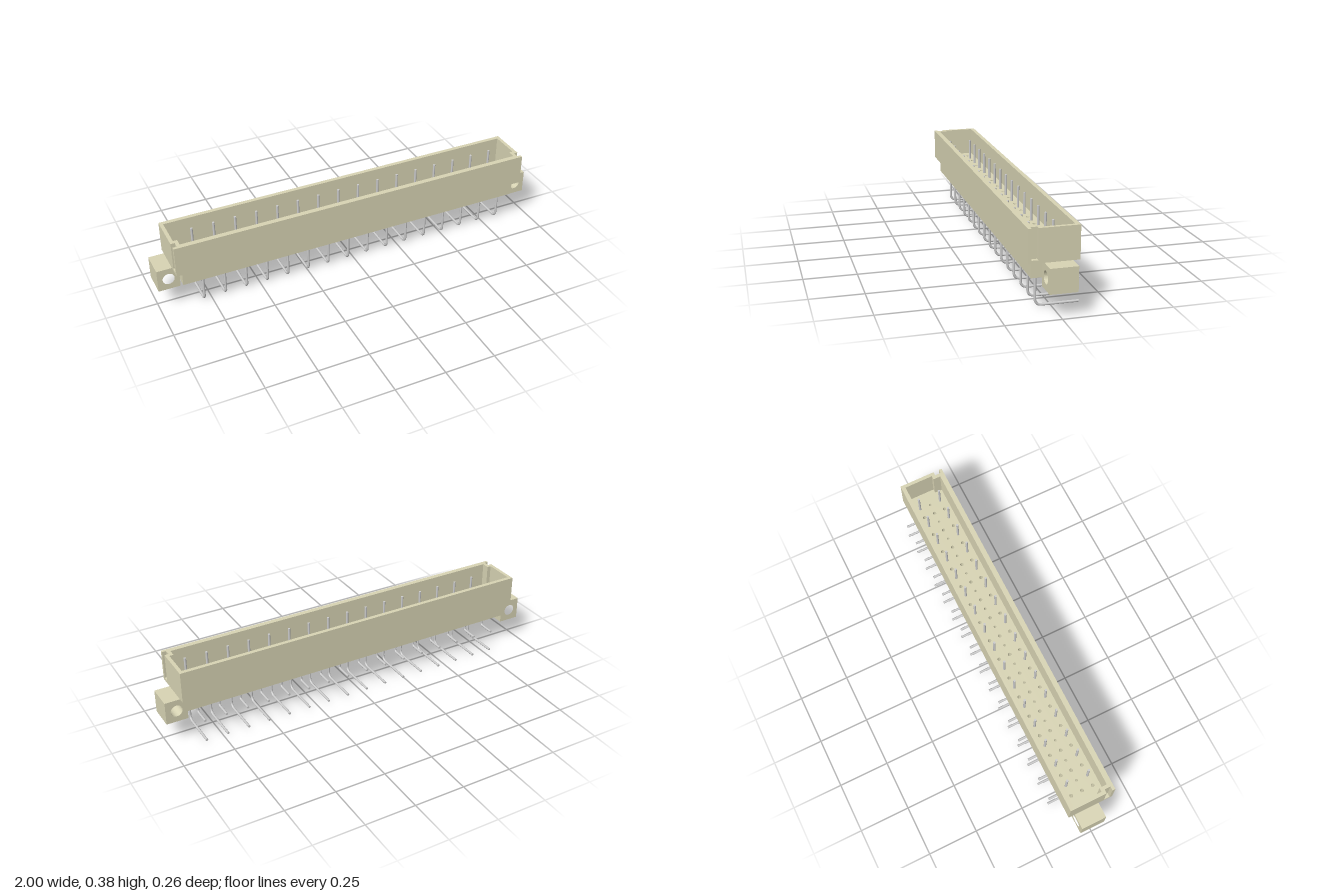
import * as THREE from 'three';
import { mergeGeometries } from 'three/addons/utils/BufferGeometryUtils.js';

const COLUMNS = 16, PITCH = 0.1081, FIRST_PIN_X = -0.787, FIRST_HOLE_X = -0.841;
const ROWS = [-0.043, 0.0135, 0.07];
const PIN_R = 0.006;

// Closed outline from [x, y] points
function outline(points) {
  return new THREE.Shape(points.map(([x, y]) => new THREE.Vector2(x, y)));
}

function roundHole(x, y, r) {
  const p = new THREE.Path();
  p.absarc(x, y, r, 0, Math.PI * 2, true);
  return p;
}

// Extrudes a plan drawn as (x, -z) from height y0 to y1
function extrudeUp(shape, y0, y1) {
  const g = new THREE.ExtrudeGeometry(shape, { depth: y1 - y0, bevelEnabled: false, curveSegments: 6 });
  g.rotateX(-Math.PI / 2);
  g.translate(0, y0, 0);
  return g;
}

// Rectangular plan pierced by the contact grid
function piercedPlan(halfX, zBack, zFront) {
  const s = outline([[-halfX, -zFront], [halfX, -zFront], [halfX, -zBack], [-halfX, -zBack]]);
  for (const z of ROWS) {
    for (let i = 0; i < COLUMNS; i++) {
      s.holes.push(roundHole(FIRST_HOLE_X + i * PITCH, -z, 0.0088));
      s.holes.push(roundHole(FIRST_PIN_X + i * PITCH, -z, 0.0066));
    }
  }
  return s;
}

// Shroud wall: keying grooves outside, thickened front corners inside
function wallPlan() {
  const X = 0.925, G = 0.905, right = [
    [X, -0.13], [X, -0.115], [G, -0.115], [G, -0.085], [X, -0.085], [X, 0.1]];
  const inner = [[0.888, -0.105], [0.888, -0.067], [0.908, -0.067], [0.908, 0.08]];
  const mirrored = (pts) => pts.concat(pts.slice().reverse().map(([x, y]) => [-x, y]));
  const s = outline(mirrored(right));
  s.holes.push(outline(mirrored(inner)));
  return s;
}

// Round wire, straight down from the tip, bent to the back, capped at both ends
function pinGeometry(z, yTip, yBottom, zEnd, bend) {
  const v = (y, zz) => new THREE.Vector3(0, y, zz);
  const k = bend * 0.4477;
  const path = new THREE.CurvePath();
  path.add(new THREE.LineCurve3(v(yTip, z), v(yBottom + bend, z)));
  path.add(new THREE.CubicBezierCurve3(
    v(yBottom + bend, z), v(yBottom + k, z), v(yBottom, z - k), v(yBottom, z - bend)));
  path.add(new THREE.LineCurve3(v(yBottom, z - bend), v(yBottom, zEnd)));
  const top = new THREE.CircleGeometry(PIN_R, 10).rotateX(-Math.PI / 2).translate(0, yTip, z);
  const end = new THREE.CircleGeometry(PIN_R, 10).rotateY(Math.PI).translate(0, yBottom, zEnd);
  return mergeGeometries([new THREE.TubeGeometry(path, 64, PIN_R, 10, false), top, end]);
}

export function createModel() {
  const model = new THREE.Group();
  model.name = 'pinHeaderConnector';
  const plastic = new THREE.MeshStandardMaterial({ color: 0xd8d4b4 });
  const metal = new THREE.MeshStandardMaterial({ color: 0xcccccc });

  const add = (name, geometry, material, parent = model) => {
    const m = new THREE.Mesh(geometry, material);
    m.name = name;
    parent.add(m);
    return m;
  };

  // Housing
  add('base', extrudeUp(piercedPlan(0.893, -0.068, 0.107), 0.155, 0.231), plastic);
  add('shroudFloor', extrudeUp(piercedPlan(0.925, -0.1, 0.13), 0.231, 0.245), plastic);
  add('shroudWall', extrudeUp(wallPlan(), 0.245, 0.385), plastic);

  // Mounting ears with a screw hole along z
  for (const side of [1, -1]) {
    const s = outline([[0.893, 0.117], [1, 0.117], [1, 0.231], [0.893, 0.231]]
      .map(([x, y]) => [x * side, y]));
    s.holes.push(roundHole(0.946 * side, 0.174, 0.029));
    const g = new THREE.ExtrudeGeometry(s, { depth: 0.126, bevelEnabled: false, curveSegments: 16 });
    g.translate(0, 0, -0.068);
    add(side > 0 ? 'leftEar' : 'rightEar', g, plastic);
  }

  // Two rows of bent contacts; the middle row stays empty
  const rows = [
    ['longPin', pinGeometry(ROWS[2], 0.35, 0.008, -0.128, 0.027)],
    ['shortPin', pinGeometry(ROWS[0], 0.35, 0.117, -0.128, 0.013)],
  ];
  for (const [name, geometry] of rows) {
    const row = new THREE.Group();
    row.name = name + 'Row';
    for (let i = 0; i < COLUMNS; i++) {
      add(name, geometry, metal, row).position.x = FIRST_PIN_X + i * PITCH;
    }
    model.add(row);
  }
  return model;
}
